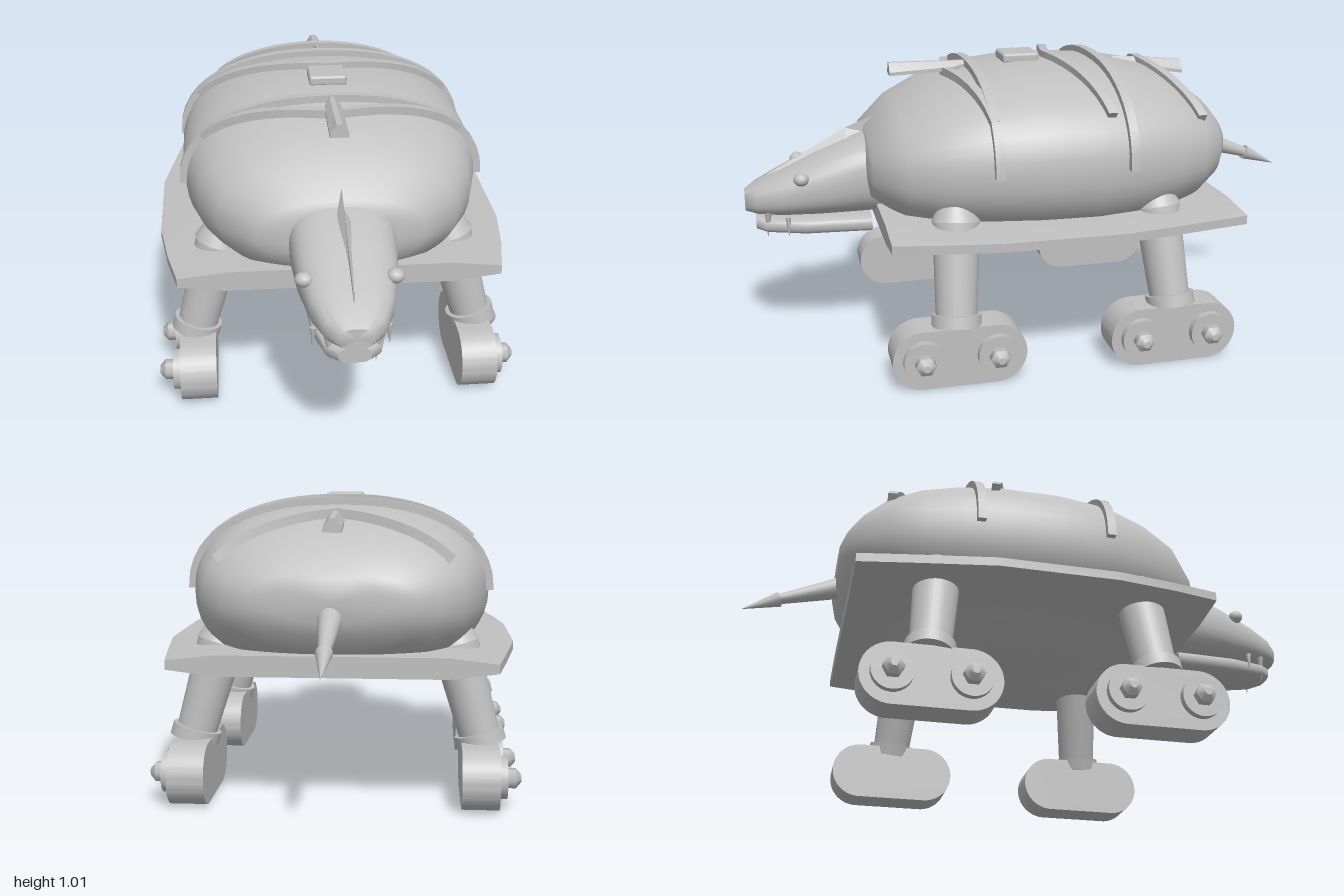
import * as THREE from 'three';
import { toCreasedNormals } from 'three/addons/utils/BufferGeometryUtils.js';
import { RoundedBoxGeometry } from 'three/addons/geometries/RoundedBoxGeometry.js';

const V = (x, y, z) => new THREE.Vector3(x, y, z);

// Skin a list of equal rings; rings are counter-clockwise seen from the first end.
function loft(rings, crease) {
  const pos = [], idx = [], n = rings[0].length, last = rings.length - 1;
  rings.forEach(r => r.forEach(p => pos.push(p.x, p.y, p.z)));
  for (let i = 0; i < last; i++) for (let j = 0; j < n; j++) {
    const a = i * n + j, b = i * n + (j + 1) % n;
    idx.push(a, a + n, b, b, a + n, b + n);
  }
  for (const [r, front] of [[0, true], [last, false]]) {
    const c = pos.length / 3, m = V(0, 0, 0);
    rings[r].forEach(p => m.addScaledVector(p, 1 / n));
    pos.push(m.x, m.y, m.z);
    for (let j = 0; j < n; j++) {
      const a = r * n + j, b = r * n + (j + 1) % n;
      idx.push(c, front ? a : b, front ? b : a);
    }
  }
  const g = new THREE.BufferGeometry();
  g.setAttribute('position', new THREE.Float32BufferAttribute(pos, 3));
  g.setIndex(idx);
  return toCreasedNormals(g, crease);
}

// Superellipse point for a section [z, halfWidth, top, middle, bottom]
function sectionPoint([z, w, top, mid, bot], t, power) {
  const bend = v => Math.sign(v) * Math.pow(Math.abs(v), 2 / power);
  const s = bend(Math.sin(t));
  return V(w * bend(Math.cos(t)), mid + s * (s > 0 ? top - mid : mid - bot), z);
}
function sectionRing(s, power, n) {
  return Array.from({ length: n }, (_, i) => sectionPoint(s, i / n * Math.PI * 2, power));
}

// Shell sections from front to back
const SHELL = [
  [0.592, 0.17, 0.72, 0.65, 0.58], [0.58, 0.27, 0.77, 0.66, 0.54], [0.48, 0.39, 0.86, 0.67, 0.47],
  [0.36, 0.455, 0.92, 0.68, 0.435], [0.22, 0.495, 0.965, 0.69, 0.41], [0.05, 0.513, 0.985, 0.69, 0.395],
  [-0.15, 0.515, 0.985, 0.69, 0.385], [-0.3, 0.495, 0.975, 0.69, 0.4], [-0.43, 0.465, 0.95, 0.69, 0.43],
  [-0.54, 0.425, 0.9, 0.69, 0.475], [-0.62, 0.35, 0.84, 0.69, 0.53], [-0.665, 0.27, 0.79, 0.69, 0.59],
  [-0.683, 0.17, 0.77, 0.69, 0.63],
];
function shellAt(z) {
  let i = 0;
  while (i < SHELL.length - 2 && SHELL[i + 1][0] > z) i++;
  const a = SHELL[i], b = SHELL[i + 1], k = (z - a[0]) / (b[0] - a[0]);
  return a.map((v, j) => v + (b[j] - v) * k);
}

// Raised strap lying on the shell; it slants by "sweep" toward its ends
function strap(z0, sweep, start) {
  const rings = [], steps = 24;
  for (let i = 0; i <= steps; i++) {
    const t = start + (Math.PI - 2 * start) * i / steps;
    const z = z0 + sweep * Math.abs(Math.cos(t)), s = shellAt(z);
    const p = sectionPoint(s, t, 2.3);
    const out = V(p.x / s[1] ** 2, (p.y - s[3]) / (s[2] - s[3]) ** 2, 0).normalize();
    rings.push([[1, -1], [1, 1], [-1, 1], [-1, -1]].map(([u, v]) =>
      p.clone().addScaledVector(out, u > 0 ? 0.023 : -0.015).add(V(0, 0, v * 0.015))));
  }
  return loft(rings, 0.6);
}

export function createModel() {
  const model = new THREE.Group();
  model.name = 'armouredWalker';
  const grey = new THREE.MeshStandardMaterial({ color: 0xc0c0c0 });
  grey.name = 'plain grey';

  function add(name, geo, parent = model) {
    const m = new THREE.Mesh(geo, grey);
    m.name = name;
    parent.add(m);
    return m;
  }
  // Tapered rod between two points
  function rod(name, a, b, ra, rb, sides, parent) {
    const d = b.clone().sub(a);
    const m = add(name, new THREE.CylinderGeometry(rb, ra, d.length(), sides), parent);
    m.position.copy(a).addScaledVector(d, 0.5);
    m.quaternion.setFromUnitVectors(V(0, 1, 0), d.normalize());
    return m;
  }

  // Shell
  add('shell', loft(SHELL.map(s => sectionRing(s, 2.3, 48)), 1.1));

  // Skirt plate around the shell
  const skirt = [[0.56, 0.53], [0.4, 0.565], [0.2, 0.595], [-0.2, 0.6], [-0.45, 0.56], [-0.65, 0.525]];
  add('skirtPlate', loft(skirt.map(([z, w]) => [
    [1, 0.475], [1, 0.505], [0.7, 0.523], [-0.7, 0.523], [-1, 0.505], [-1, 0.475], [-0.7, 0.455], [0.7, 0.455],
  ].map(([k, y]) => V(k * w, y, z))), 0.15));

  // Straps over the shell
  [[-0.245, 0, 0], [0.205, 0, 0], [-0.43, -0.12, 0.55], [-0.075, -0.13, 0.55], [0.29, -0.1, 0.55]]
    .forEach(([z, sweep, start]) => add('shellStrap', strap(z, sweep, start)));

  // Top badge and the two ridge bars
  add('topBadge', new RoundedBoxGeometry(0.13, 0.035, 0.13, 2, 0.01)).position.set(0, 0.993, 0.025);
  const bar = (name, sections) => add(name, loft(sections.map(([z, w, y0, y1]) =>
    [V(w, y0, z), V(w, y0 + 0.012, z), V(w * 0.3, y1, z), V(-w * 0.3, y1, z), V(-w, y0 + 0.012, z), V(-w, y0, z)]), 0.3));
  bar('frontRidgeBar', [[0.485, 0.031, 0.945, 0.988], [0.26, 0.028, 0.955, 0.985], [0.2, 0.008, 0.965, 0.985]]);
  bar('rearRidgeBar', [[-0.33, 0.004, 0.955, 0.975], [-0.46, 0.03, 0.925, 0.965], [-0.595, 0.031, 0.905, 0.95]]);

  // Head and lower jaw
  const head = [[1.0, 0.05, 0.565, 0.53, 0.495], [0.96, 0.092, 0.59, 0.54, 0.486], [0.88, 0.128, 0.628, 0.56, 0.478],
    [0.75, 0.157, 0.69, 0.59, 0.475], [0.62, 0.17, 0.742, 0.62, 0.475], [0.5, 0.17, 0.775, 0.63, 0.475]];
  add('head', loft(head.map(s => sectionRing(s, 2.6, 32)), 0.9));
  const jaw = [[0.967, 0.05, 0.477, 0.455, 0.43], [0.93, 0.085, 0.477, 0.45, 0.422],
    [0.8, 0.118, 0.478, 0.45, 0.412], [0.575, 0.13, 0.478, 0.45, 0.408]];
  add('lowerJaw', loft(jaw.map(s => sectionRing(s, 3.2, 24)), 0.7));

  // Crest blade along the forehead
  const ridge = [[0.925, 0.003, 0.612, 0.59], [0.645, 0.03, 0.765, 0.715], [0.55, 0.004, 0.803, 0.74]];
  add('headCrest', loft(ridge.map(([z, w, y1, y0]) => [V(w, y0, z), V(0, y1, z), V(-w, y0, z)]), 0.2));

  for (const side of [1, -1]) {
    // Eyes and fangs
    const eye = add('eye', new THREE.SphereGeometry(0.026, 16, 10));
    eye.position.set(side * 0.138, 0.628, 0.81);
    eye.scale.set(1.1, 0.9, 1);
    rod('fang', V(side * 0.078, 0.5, 0.925), V(side * 0.066, 0.412, 0.93), 0.012, 0.001, 10);
    rod('sideFang', V(side * 0.115, 0.49, 0.86), V(side * 0.118, 0.425, 0.86), 0.01, 0.001, 10);

    // Legs with long feet and two hubs each
    for (const [name, topZ, lowZ, footZ] of [['front', 0.325, 0.352, 0.348], ['rear', -0.365, -0.4, -0.396]]) {
      const leg = new THREE.Group();
      leg.name = name + (side > 0 ? 'Left' : 'Right') + 'Leg';
      model.add(leg);
      const hip = V(side * 0.375, 0.59, topZ), ankle = V(side * 0.487, 0.19, lowZ);
      const knee = hip.clone().lerp(ankle, 0.17);
      rod('hip', knee, hip, 0.082, 0.055, 28, leg);
      rod('legTube', knee, ankle, 0.079, 0.067, 28, leg);
      rod('ankleCollar', hip.clone().lerp(ankle, 0.9), ankle, 0.083, 0.083, 28, leg);

      const shape = new THREE.Shape();
      shape.absarc(0.122, 0, 0.102, -Math.PI / 2, Math.PI / 2, false);
      shape.absarc(-0.122, 0, 0.102, Math.PI / 2, Math.PI * 1.5, false);
      const footGeo = new THREE.ExtrudeGeometry(shape, { depth: 0.122, bevelEnabled: false, curveSegments: 20 });
      footGeo.translate(0, 0, -0.061);
      const foot = add('foot', toCreasedNormals(footGeo, 0.5), leg);
      foot.rotation.y = Math.PI / 2;
      foot.position.set(side * 0.478, 0.102, footZ);
      for (const dz of [-0.123, 0.123]) {
        const at = x => V(side * x, 0.106, footZ + dz);
        rod('hubDisc', at(0.53), at(0.564), 0.068, 0.068, 28, leg);
        rod('hubBolt', at(0.56), at(0.592), 0.034, 0.034, 6, leg);
        rod('hubCap', at(0.592), at(0.61), 0.034, 0.013, 6, leg);
      }
    }
  }

  // Tail with a spear tip
  rod('tailBase', V(0, 0.655, -0.64), V(0, 0.575, -0.88), 0.042, 0.018, 20);
  rod('tailTip', V(0, 0.576, -0.875), V(0, 0.524, -1.0), 0.027, 0.001, 12);

  return model;
}
